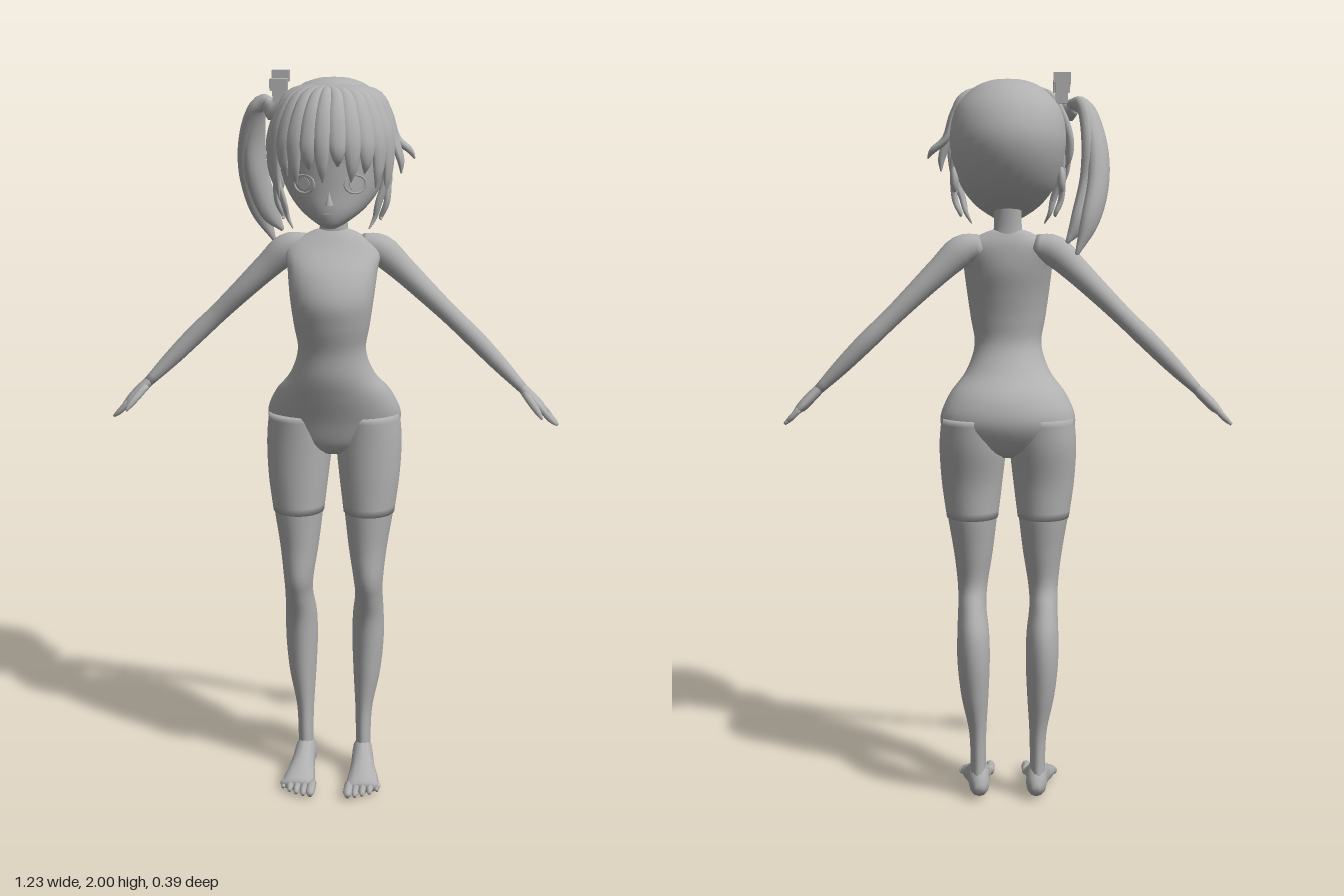
import * as THREE from 'three';

const V3 = (x, y, z) => new THREE.Vector3(x, y, z);
const grey = new THREE.MeshStandardMaterial({ color: 0xb0b0b0 });
grey.name = 'grey';

// Closed skin over a list of rings of points
function skin(rings) {
  const n = rings[0].length, m = rings.length, pos = [], idx = [];
  rings.forEach(r => r.forEach(p => pos.push(p.x, p.y, p.z)));
  for (const r of [rings[0], rings[m - 1]]) {
    const c = r.reduce((s, p) => s.add(p), V3(0, 0, 0)).divideScalar(n);
    pos.push(c.x, c.y, c.z);
  }
  for (let j = 0; j < n; j++) {
    const k = (j + 1) % n;
    for (let i = 0; i < m - 1; i++) {
      const a = i * n + j, b = i * n + k;
      idx.push(a, a + n, b, b, a + n, b + n);
    }
    idx.push(m * n, j, k, m * n + 1, (m - 1) * n + k, (m - 1) * n + j);
  }
  const g = new THREE.BufferGeometry();
  g.setAttribute('position', new THREE.Float32BufferAttribute(pos, 3));
  g.setIndex(idx);
  g.computeVertexNormals();
  return g;
}

// Level sections, bottom to top: [y, xMin, xMax, zBack, zFront]
function levels(sections, s = 1, grow = 0, steps = 5, n = 28) {
  const A = new THREE.CatmullRomCurve3(sections.map(p => V3(p[1], p[2], p[0])), false, 'catmullrom', 0.5);
  const B = new THREE.CatmullRomCurve3(sections.map(p => V3(p[3], p[4], 0)), false, 'catmullrom', 0.5);
  const rings = [], m = (sections.length - 1) * steps;
  for (let i = 0; i <= m; i++) {
    const a = A.getPoint(i / m), b = B.getPoint(i / m), ring = [];
    const rx = (a.y - a.x) / 2 + grow, rz = (b.y - b.x) / 2 + grow;
    for (let j = 0; j < n; j++) {
      const t = j / n * Math.PI * 2;
      ring.push(V3(s * (a.x + a.y) / 2 + rx * Math.cos(t), a.z, (b.x + b.y) / 2 + rz * Math.sin(t)));
    }
    rings.push(ring);
  }
  return skin(rings);
}

// Tapered oval limb along [x, y, z, width, depth]; ref(p) gives the depth axis
function limb(points, ref, s = 1, steps = 4, n = 12) {
  const P = new THREE.CatmullRomCurve3(points.map(p => V3(s * p[0], p[1], p[2])), false, 'catmullrom', 0.5);
  const R = new THREE.CatmullRomCurve3(points.map(p => V3(p[3], p[4], 0)), false, 'catmullrom', 0.5);
  const rings = [], m = (points.length - 1) * steps;
  for (let i = 0; i <= m; i++) {
    const c = P.getPoint(i / m), r = R.getPoint(i / m), T = P.getTangent(i / m);
    const U = T.clone().cross(ref(c)).normalize(), W = U.clone().cross(T), ring = [];
    for (let j = 0; j < n; j++) {
      const t = j / n * Math.PI * 2;
      ring.push(c.clone().addScaledVector(U, r.x * Math.cos(t)).addScaledVector(W, r.y * Math.sin(t)));
    }
    rings.push(ring);
  }
  return skin(rings);
}

const HEAD = V3(0, 1.81, 0.01);
const xAxis = () => V3(1, 0, 0), zAxis = () => V3(0, 0, 1);
const outward = p => p.clone().sub(HEAD).setY((p.y - HEAD.y) * 0.6);

export function createModel() {
  const model = new THREE.Group();
  const add = (name, geo, parent = model) => {
    const m = new THREE.Mesh(geo, grey);
    m.name = name;
    parent.add(m);
    return m;
  };

  // Plain fitted suit over the torso
  add('suitBody', levels([
    [0.97, -0.05, 0.05, -0.05, 0.03], [1.0, -0.15, 0.15, -0.1, 0.06], [1.07, -0.184, 0.184, -0.136, 0.082],
    [1.14, -0.16, 0.16, -0.118, 0.108], [1.2, -0.115, 0.115, -0.06, 0.126], [1.27, -0.092, 0.092, -0.018, 0.132],
    [1.34, -0.102, 0.102, -0.018, 0.15], [1.41, -0.112, 0.112, -0.03, 0.158], [1.48, -0.12, 0.12, -0.045, 0.125],
    [1.54, -0.125, 0.125, -0.045, 0.06], [1.575, -0.07, 0.07, -0.035, 0.03], [1.59, -0.03, 0.03, -0.025, 0.015]]));
  add('neck', levels([[1.53, -0.055, 0.055, -0.04, 0.03], [1.59, -0.038, 0.038, -0.034, 0.022],
    [1.68, -0.038, 0.038, -0.04, 0.03]]));

  // Head with a narrow chin and round skull
  add('head', levels([
    [1.603, -0.015, 0.015, 0.085, 0.12], [1.618, -0.045, 0.045, 0.03, 0.134], [1.65, -0.088, 0.088, -0.05, 0.142],
    [1.7, -0.125, 0.125, -0.115, 0.142], [1.77, -0.148, 0.148, -0.16, 0.145], [1.84, -0.155, 0.155, -0.174, 0.148],
    [1.91, -0.138, 0.138, -0.15, 0.13], [1.96, -0.092, 0.092, -0.1, 0.085], [1.98, -0.045, 0.045, -0.05, 0.04],
    [1.984, -0.005, 0.005, -0.01, 0]]));
  add('nose', new THREE.ConeGeometry(0.011, 0.035, 8)).position.set(0, 1.685, 0.144);
  const mouth = add('mouth', new THREE.BoxGeometry(0.03, 0.004, 0.006));
  mouth.position.set(0, 1.645, 0.139);

  const legShape = [
    [0.06, 0.062, 0.105, -0.075, 0.005], [0.12, 0.062, 0.105, -0.075, 0.005], [0.2, 0.06, 0.11, -0.082, 0.002],
    [0.3, 0.054, 0.13, -0.105, 0.008], [0.4, 0.05, 0.14, -0.12, 0.015], [0.48, 0.052, 0.14, -0.115, 0.026],
    [0.55, 0.06, 0.138, -0.085, 0.052], [0.61, 0.056, 0.14, -0.058, 0.07], [0.7, 0.042, 0.15, -0.068, 0.068],
    [0.8, 0.03, 0.166, -0.083, 0.07], [0.9, 0.018, 0.179, -0.09, 0.07], [1.0, 0.008, 0.184, -0.112, 0.07],
    [1.08, 0.012, 0.178, -0.12, 0.072]];

  for (const [side, s] of [['left', 1], ['right', -1]]) {
    // Legs with the short legs of the suit
    add(side + 'Leg', levels(legShape, s));
    add(side + 'SuitLeg', levels(legShape.slice(9), s, 0.003));

    // Feet and toes
    add(side + 'Foot', limb([[0.08, 0.032, -0.085, 0.012, 0.012], [0.08, 0.04, -0.06, 0.04, 0.028],
      [0.083, 0.052, -0.02, 0.052, 0.03], [0.086, 0.04, 0.03, 0.04, 0.034], [0.09, 0.026, 0.08, 0.025, 0.043],
      [0.092, 0.018, 0.13, 0.016, 0.048]], xAxis, s));
    for (let i = 0; i < 5; i++) {
      const x = 0.053 + i * 0.02, r = i ? 0.0095 : 0.013, end = 0.178 - i * i * 0.0028;
      add(side + 'Toe', limb([[x, 0.018, 0.11, r, r], [x, 0.018, end - 0.015, r, r],
        [x, 0.012, end, r * 0.5, r * 0.5]], xAxis, s, 3, 8));
    }

    // Arms, palms and fingers
    add(side + 'Arm', limb([[0.07, 1.545, -0.008, 0.03, 0.03], [0.125, 1.53, -0.01, 0.042, 0.04],
      [0.18, 1.482, -0.016, 0.036, 0.037], [0.25, 1.415, -0.022, 0.03, 0.034], [0.32, 1.347, -0.03, 0.026, 0.027],
      [0.38, 1.29, -0.032, 0.026, 0.027], [0.45, 1.22, -0.025, 0.022, 0.023],
      [0.515, 1.155, -0.015, 0.014, 0.018]], zAxis, s, 4, 18));
    add(side + 'Palm', limb([[0.505, 1.165, -0.016, 0.013, 0.016], [0.535, 1.135, -0.013, 0.015, 0.028],
      [0.56, 1.11, -0.011, 0.014, 0.036], [0.58, 1.09, -0.011, 0.009, 0.034]], zAxis, s));
    for (let i = 0; i < 4; i++) {
      const z = -0.038 + i * 0.018, d = [0.024, 0.036, 0.038, 0.032][i];
      add(side + 'Finger', limb([[0.568, 1.102, z, 0.008, 0.008], [0.572 + d * 0.6, 1.098 - d * 0.65, z, 0.008, 0.008],
        [0.575 + d, 1.095 - d, z, 0.004, 0.004]], zAxis, s, 3, 8));
    }
    add(side + 'Thumb', limb([[0.52, 1.145, 0, 0.01, 0.01], [0.54, 1.122, 0.026, 0.01, 0.01],
      [0.558, 1.1, 0.042, 0.008, 0.008], [0.568, 1.085, 0.05, 0.003, 0.003]], () => V3(1, 1, 0), s, 3, 8));

    // Eyes, lids and ears
    const eye = new THREE.Group();
    eye.name = side + 'Eye';
    eye.position.set(s * 0.066, 1.72, 0.125);
    eye.rotation.y = s * 0.42;
    add('eyeRim', new THREE.TorusGeometry(0.029, 0.003, 6, 24), eye).scale.y = 0.8;
    add('iris', new THREE.CylinderGeometry(0.016, 0.016, 0.006, 20).rotateX(Math.PI / 2), eye);
    model.add(eye);
    const ear = add(side + 'Ear', new THREE.SphereGeometry(0.03, 12, 10));
    ear.scale.set(0.4, 1.15, 0.75);
    ear.position.set(s * 0.143, 1.72, -0.02);
  }

  // Fringe: locks fanning from the crown, [azimuth degrees, tip height, half width, tip flare]
  const lock = (az, tip, w, flare = 0) => {
    const a = az * Math.PI / 180, sx = Math.sin(a), cz = Math.cos(a);
    const at = (up, k = 1) => {
      const r = Math.sqrt(Math.max(0, 1 - (up / 0.178) ** 2)) * k;
      return [0.163 * sx * r, HEAD.y + up, HEAD.z + 0.178 * cz * r];
    };
    const end = [(0.155 + flare) * sx, tip, HEAD.z + 0.172 * cz];
    const mid = at(0.02, 1.02);
    const low = mid.map((v, i) => v * 0.4 + end[i] * 0.6);
    low[0] += 0.006 * sx;
    low[2] += 0.006 * cz;
    add('fringeLock', limb([[-0.01, 1.966, 0.075, 0.008, 0.006], [...at(0.135), w * 0.75, 0.011],
      [...at(0.085), w, 0.012], [...mid, w, 0.011], [...low, w * 0.65, 0.009], [...end, 0.002, 0.002]], outward, 1, 5, 10));
  };
  [[-88, 1.75, 0.03], [-74, 1.7, 0.028], [-60, 1.68, 0.026], [-46, 1.74, 0.025], [-32, 1.72, 0.024], [-18, 1.76, 0.023],
    [-5, 1.73, 0.022], [9, 1.77, 0.023], [22, 1.73, 0.024], [36, 1.75, 0.025], [50, 1.71, 0.026], [64, 1.69, 0.028],
    [78, 1.74, 0.03, 0.03], [92, 1.775, 0.028, 0.06]].forEach(l => lock(...l));

  // Curled side locks in front of the ears
  for (const s of [1, -1]) for (const k of [0, 1]) {
    add('sideLock', limb([[0.142, 1.82, 0.07 - k * 0.03, 0.016, 0.01], [0.146, 1.74, 0.08 - k * 0.03, 0.018, 0.01],
      [0.125 + k * 0.02, 1.67, 0.085 - k * 0.03, 0.013, 0.008], [0.115 + k * 0.015, 1.63, 0.08 - k * 0.03, 0.008, 0.006],
      [0.1 + k * 0.03, 1.6 + k * 0.02, 0.09 - k * 0.03, 0.002, 0.002]], outward, s, 5, 10));
  }

  // Hair sweeping back to the tie, then the side ponytail
  add('sweptHair', limb([[-0.02, 1.965, 0.08, 0.012, 0.008], [-0.1, 1.93, 0.065, 0.03, 0.012],
    [-0.155, 1.9, 0.02, 0.03, 0.012], [-0.18, 1.91, -0.01, 0.016, 0.012]], outward));
  const tail = (dx, dz, k) => add('ponytail', limb([[-0.165, 1.92, -0.005, 0.012, 0.012],
    [-0.205, 1.905, -0.04, 0.032, 0.022], [-0.232 + dx * 0.4, 1.82, -0.08, 0.042, 0.026],
    [-0.236 + dx * 0.7, 1.72, -0.115 + dz, 0.042, 0.027], [-0.215 + dx, 1.62, -0.15 + dz, 0.036, 0.022],
    [-0.18 + dx, 1.53 + k, -0.172 + dz, 0.006, 0.005]], () => V3(1, 0, 0.5), 1, 6, 14));
  tail(0, 0, 0);
  tail(0.025, 0.012, 0.03);

  // Block hair tie
  const tie = new THREE.Group();
  tie.name = 'hairTie';
  for (const [x, y, z, w, h, d] of [[-0.143, 1.985, -0.035, 0.045, 0.03, 0.03], [-0.143, 1.965, 0.015, 0.045, 0.03, 0.04],
    [-0.143, 1.945, -0.01, 0.032, 0.05, 0.07]]) {
    add('tieBlock', new THREE.BoxGeometry(w, h, d), tie).position.set(x, y, z);
  }
  model.add(tie);
  return model;
}
